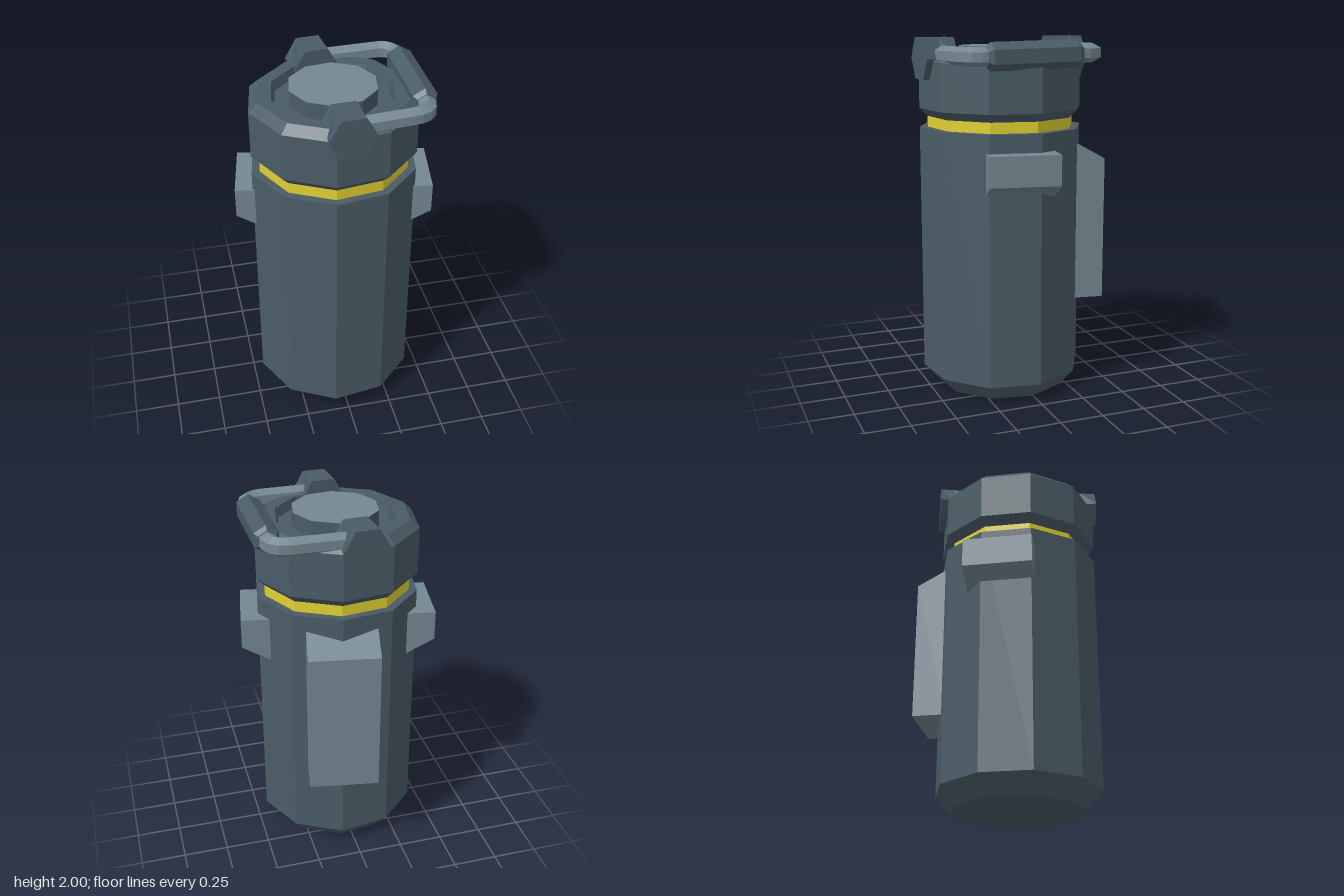
import * as THREE from 'three';

const deg = Math.PI / 180;
const material = (color) => new THREE.MeshStandardMaterial({ color, flatShading: true });

export function createModel() {
  const dark = material(0x4a5c66);
  const light = material(0x748791);
  const yellow = material(0xe0d030);

  const model = new THREE.Group();
  model.name = 'canister';

  const add = (name, geometry, mat, parent = model) => {
    const mesh = new THREE.Mesh(geometry, mat);
    mesh.name = name;
    parent.add(mesh);
    return mesh;
  };

  // Ten-sided turned parts share one axis, slightly forward of centre
  const core = new THREE.Group();
  core.name = 'core';
  core.position.z = 0.055;
  model.add(core);
  const turned = (name, profile, mat) => add(
    name,
    new THREE.LatheGeometry(profile.map(([r, y]) => new THREE.Vector2(r, y)), 10, 26 * deg),
    mat, core);

  turned('body', [[0, 0], [0.37, 0], [0.46, 0.1], [0.46, 1.505], [0.4, 1.505]], dark);
  turned('neckBand', [[0.415, 1.5], [0.415, 1.565]], yellow);
  turned('lid', [
    [0.41, 1.56], [0.46, 1.61], [0.46, 1.87], [0.41, 1.915], [0.335, 1.915],
    [0.32, 1.86], [0.24, 1.86], [0.24, 1.95],
  ], dark);
  turned('lidButton', [[0.24, 1.95], [0, 1.95]], light);

  // Mounting blocks, turned ten degrees round the body
  const mounts = new THREE.Group();
  mounts.name = 'mountingBlocks';
  mounts.rotation.y = -10 * deg;
  core.add(mounts);
  const block = (name, outline, offset) => {
    const shape = new THREE.Shape(outline.map(([u, y]) => new THREE.Vector2(u, y)));
    const geometry = new THREE.ExtrudeGeometry(shape, { depth: 0.384, bevelEnabled: false });
    geometry.translate(0, 0, offset - 0.192);
    return add(name, geometry, light, mounts);
  };
  for (const [name, side] of [['leftBlock', 1], ['rightBlock', -1]]) {
    const outline = [[0.35, 1.14], [0.533, 1.24], [0.533, 1.405], [0.35, 1.405]];
    block(name, outline.map(([u, y]) => [u * side, y]), -0.034);
  }
  block('backBlock', [[0.38, 0.515], [0.56, 0.515], [0.56, 1.325], [0.38, 1.425]], 0)
    .rotation.y = 90 * deg;

  // Six-sided hinge knuckles with pinched flanks
  const knuckle = (name, x, z, turn) => {
    const geometry = new THREE.CylinderGeometry(0.13, 0.13, 0.18, 6, 2);
    geometry.rotateY(30 * deg).rotateX(90 * deg);
    const p = geometry.attributes.position;
    for (let i = 0; i < p.count; i++) {
      if (Math.abs(p.getZ(i)) < 0.01 && Math.abs(p.getX(i)) > 0.1) p.setX(i, p.getX(i) * 0.85);
    }
    const mesh = add(name, geometry, dark);
    mesh.position.set(x, 1.885, z);
    mesh.rotation.y = turn * deg;
  };
  knuckle('frontKnuckle', -0.007, 0.437, 3);
  knuckle('backKnuckle', -0.03, -0.332, 5);

  // Bent arms joining the knuckles to the grip
  const arm = (name, points) => {
    const [a, b, corner, c, d] = points.map((q) => new THREE.Vector3(...q));
    const path = new THREE.CurvePath();
    path.add(new THREE.LineCurve3(a, b));
    path.add(new THREE.QuadraticBezierCurve3(b, corner, c));
    path.add(new THREE.LineCurve3(c, d));
    add(name, new THREE.TubeGeometry(path, 14, 0.05, 6), light);
  };
  arm('frontArm', [[0.03, 1.905, 0.425], [0.34, 1.91, 0.405], [0.43, 1.91, 0.395],
    [0.43, 1.91, 0.31], [0.43, 1.91, 0.25]]);
  arm('backArm', [[0, 1.915, -0.33], [0.33, 1.92, -0.337], [0.425, 1.92, -0.34],
    [0.43, 1.92, -0.25], [0.43, 1.92, -0.19]]);

  // Six-sided grip with tapered ends
  const gripProfile = [[0, -0.265], [0.055, -0.265], [0.075, -0.24], [0.075, 0.24], [0.055, 0.265], [0, 0.265]]
    .map(([r, y]) => new THREE.Vector2(r, y));
  const grip = add('grip', new THREE.LatheGeometry(gripProfile, 6).rotateX(90 * deg), dark);
  grip.position.set(0.43, 1.914, 0.03);
  grip.rotation.x = 0.02;

  return model;
}
